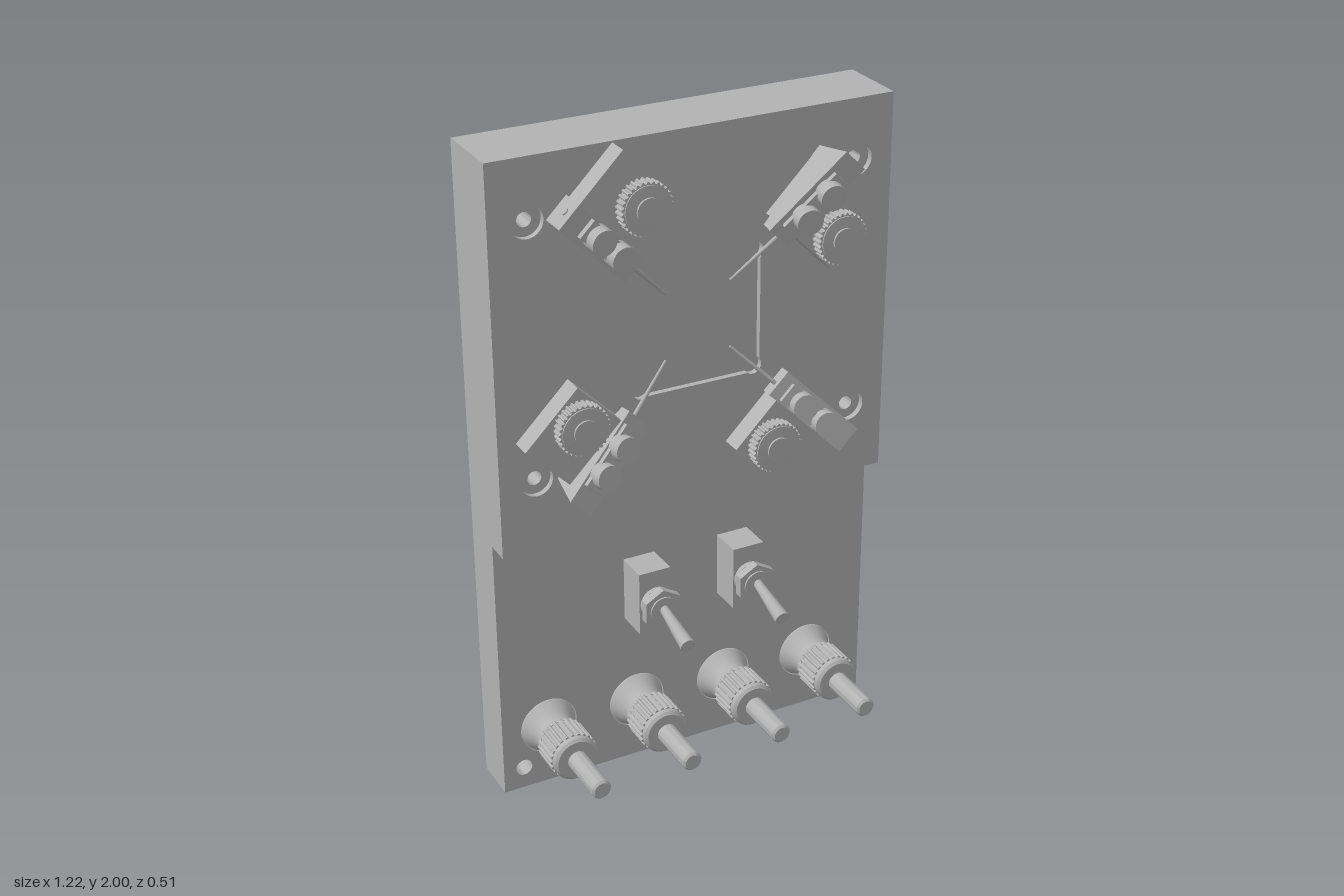
import * as THREE from 'three';
import { toCreasedNormals } from 'three/addons/utils/BufferGeometryUtils.js';

const grey = new THREE.MeshStandardMaterial({ color: 0xb2b2b2 });
grey.name = 'plain grey';

function add(parent, name, geometry, x = 0, y = 0, z = 0) {
  const mesh = new THREE.Mesh(geometry, grey);
  mesh.name = name;
  mesh.position.set(x, y, z);
  parent.add(mesh);
  return mesh;
}

function rectangle(x0, y0, x1, y1) {
  return new THREE.Shape([[x0, y0], [x1, y0], [x1, y1], [x0, y1]].map(p => new THREE.Vector2(...p)));
}

function hole(shape, x, y, r) {
  shape.holes.push(new THREE.Path().absarc(x, y, r, 0, Math.PI * 2, true));
}

// Plate between two depths
function slab(shape, z0, z1) {
  const g = new THREE.ExtrudeGeometry(shape, { depth: z1 - z0, bevelEnabled: false, curveSegments: 32 });
  g.translate(0, 0, z0);
  return toCreasedNormals(g, 0.5);
}

// Turned part along z, from [radius, z] points
function turned(points, sides = 32) {
  const g = new THREE.LatheGeometry(points.map(p => new THREE.Vector2(...p)), sides);
  return toCreasedNormals(g.rotateX(Math.PI / 2), 0.5);
}

function disc(r, z0, z1, sides = 32) {
  return turned([[0, z0], [r, z0], [r, z1], [0, z1]], sides);
}

// Ring of small teeth along z
function knurled(r, teeth, z0, z1) {
  const pts = [];
  for (let i = 0; i < teeth * 4; i++) {
    const a = i / (teeth * 4) * Math.PI * 2, k = i % 4 < 2 ? r : r * 0.92;
    pts.push(new THREE.Vector2(Math.cos(a) * k, Math.sin(a) * k));
  }
  return slab(new THREE.Shape(pts), z0, z1);
}

// Rod between two points
function rod(parent, name, a, b, ra, rb, sides = 16) {
  const from = new THREE.Vector3(...a), to = new THREE.Vector3(...b);
  const dir = to.clone().sub(from);
  const mesh = add(parent, name, new THREE.CylinderGeometry(rb, ra, dir.length(), sides));
  mesh.position.copy(from).add(to).multiplyScalar(0.5);
  mesh.quaternion.setFromUnitVectors(new THREE.Vector3(0, 1, 0), dir.normalize());
}

const postX = [-0.46, -0.17, 0.125, 0.415], postY = 0.195;
const midY = 1.44;

function makeBoard() {
  const board = new THREE.Group();
  board.name = 'board';
  const back = rectangle(-0.61, 0, 0.61, 2);
  const step = rectangle(-0.61, 0, 0.61, 0.845);
  const core = rectangle(-0.61, 0.845, 0.61, 2);
  const face = rectangle(-0.61, 0.845, 0.61, 2);
  for (const x of postX) {
    hole(back, x, postY, 0.09);
    hole(step, x, postY, 0.09);
  }
  for (const s of [-1, 1]) {
    hole(step, s * 0.545, 0.07, 0.026);
    for (const y of [1.063, 1.822]) {
      hole(core, s * 0.498, y, 0.021);
      hole(face, s * 0.498, y, 0.048);
    }
  }
  // Sample pocket with relieved corners
  const pocket = new THREE.Path(), h = 0.192, r = 0.027, c = h - r * 0.6;
  for (let i = 0; i < 4; i++) {
    const a = Math.PI / 4 - i * Math.PI / 2;
    pocket.absarc(Math.SQRT2 * c * Math.cos(a), midY + Math.SQRT2 * c * Math.sin(a), r,
      a + 2.214 - Math.PI / 4 + 0.03, a - 2.214 + Math.PI / 4 - 0.03, true);
  }
  pocket.closePath();
  face.holes.push(pocket);
  add(board, 'back plate', slab(back, -0.255, -0.18));
  add(board, 'lower panel', slab(step, -0.18, -0.112));
  add(board, 'upper panel core', slab(core, -0.18, -0.055));
  add(board, 'upper panel face', slab(face, -0.055, -0.037));
  return board;
}

// Probe positioner: x points outward from the pocket, z to the front
function makePositioner() {
  const g = new THREE.Group();
  g.name = 'probe positioner';
  add(g, 'positioner base', slab(rectangle(0.344, -0.217, 0.569, 0.045), -0.037, 0.027));
  add(g, 'thumb wheel', knurled(0.077, 30, 0.032, 0.07), 0.423, -0.139);
  add(g, 'thumb wheel hub', turned([[0, 0.02], [0.068, 0.02], [0.068, 0.074], [0.036, 0.076], [0.036, 0.082], [0, 0.082]]), 0.423, -0.139);

  // Sloping arm with a narrower upper rail
  const profile = new THREE.Shape([[0.315, -0.01], [0.56, -0.037], [0.58, -0.037], [0.602, 0.08], [0.31, 0.03]]
    .map(p => new THREE.Vector2(...p)));
  const arm = new THREE.ExtrudeGeometry(profile, { depth: 0.084, bevelEnabled: false });
  add(g, 'arm', arm.rotateX(Math.PI / 2), 0, 0.047, 0);
  const slope = Math.atan2(0.05, 0.292);
  const rail = add(g, 'arm rail', new THREE.BoxGeometry(0.2, 0.06, 0.018), 0.442, 0, 0.058);
  rail.rotation.y = -slope;
  for (const [x, z] of [[0.397, 0.047], [0.487, 0.062]]) {
    const screw = add(g, 'clamp screw', disc(0.038, 0, 0.045, 24), x + 0.005, 0, z);
    screw.rotation.y = -slope;
  }
  rod(g, 'end screw', [0.58, 0, 0.04], [0.598, 0, 0.037], 0.01, 0.01, 12);
  rod(g, 'probe needle', [0.33, 0, 0.015], [0.142, 0, -0.036], 0.007, 0.004, 10);
  return g;
}

function makeSwitch() {
  const g = new THREE.Group();
  g.name = 'toggle switch';
  add(g, 'switch body', new THREE.BoxGeometry(0.1, 0.2, 0.104), 0, 0, -0.062);
  add(g, 'switch bushing', disc(0.042, -0.01, 0.05, 24));
  add(g, 'switch washer', disc(0.05, -0.004, 0.01, 24));
  add(g, 'switch nut', disc(0.064, 0.018, 0.045, 6));
  rod(g, 'switch lever', [0, 0.006, 0.04], [0, -0.038, 0.196], 0.013, 0.023);
  return g;
}

function makePost() {
  const g = new THREE.Group();
  g.name = 'binding post';
  add(g, 'post flange', turned([[0, -0.15], [0.087, -0.15], [0.087, -0.112], [0.08, -0.1], [0.068, -0.075],
    [0.062, -0.055], [0.066, -0.035], [0.07, -0.02], [0, -0.02]]));
  add(g, 'post grip', knurled(0.074, 24, -0.028, 0.065));
  add(g, 'post grip collar', turned([[0, 0.03], [0.069, 0.03], [0.069, 0.08], [0.061, 0.088], [0, 0.088]]));
  add(g, 'post stem', turned([[0, 0.08], [0.03, 0.08], [0.03, 0.248], [0.024, 0.255], [0, 0.255]]));
  return g;
}

export function createModel() {
  const model = new THREE.Group();
  model.name = 'probe station';
  model.add(makeBoard());
  for (let i = 0; i < 4; i++) {
    const p = makePositioner();
    p.position.y = midY;
    p.rotation.z = Math.PI / 4 + i * Math.PI / 2;
    model.add(p);
  }
  for (const x of [-0.155, 0.153]) {
    const s = makeSwitch();
    s.position.set(x, 0.593, 0);
    model.add(s);
  }
  for (const x of postX) {
    const p = makePost();
    p.position.set(x, postY, 0);
    model.add(p);
  }
  return model;
}
